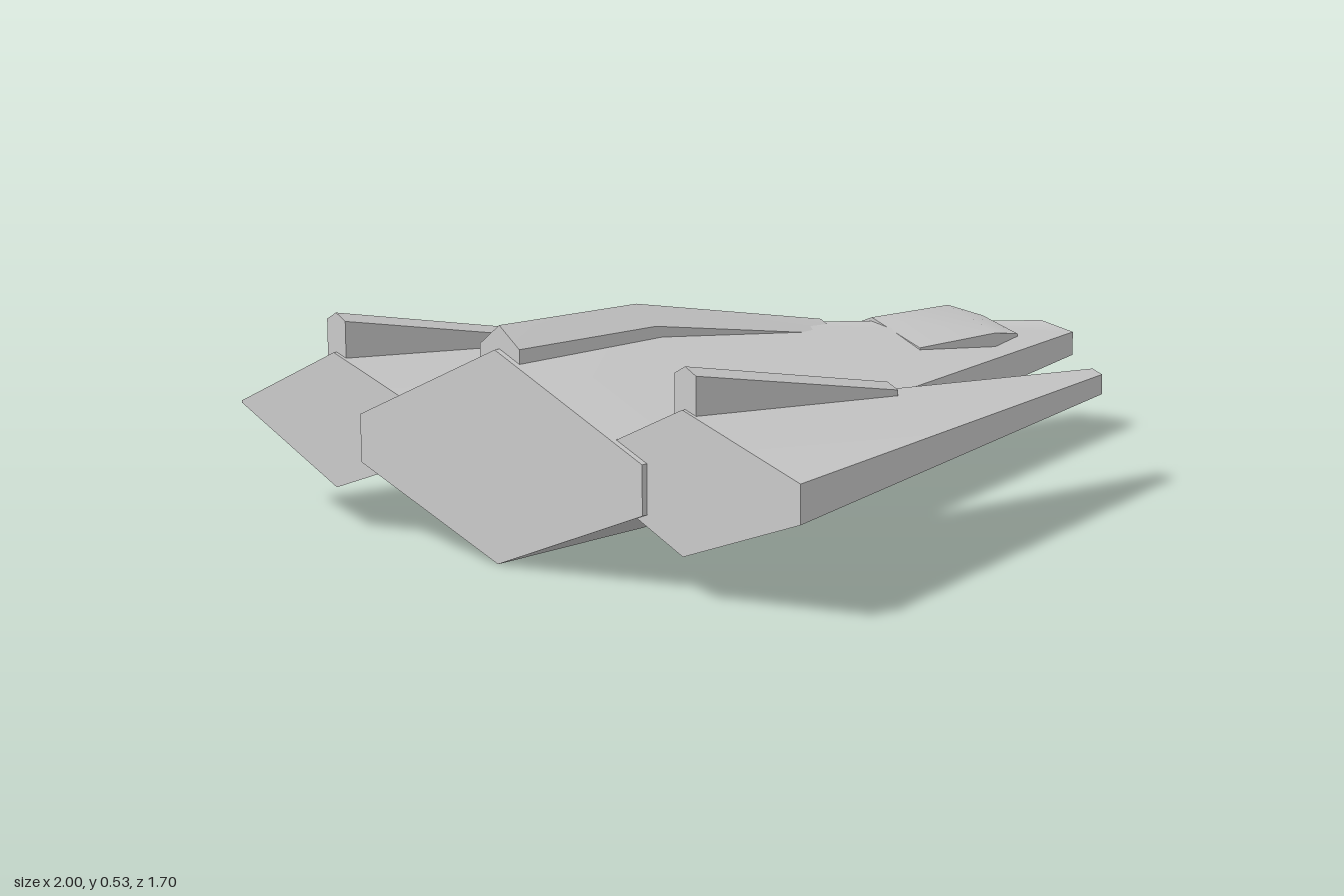
import * as THREE from 'three';
import { toCreasedNormals } from 'three/addons/utils/BufferGeometryUtils.js';

const material = new THREE.MeshStandardMaterial({ color: 0xcccccc });

// Closed solid through cross-sections ordered from tail (-x) to nose (+x).
// Each section is { x, ring }, ring = [z, y] corners: top, +z side, bottom, -z side.
function loft(name, sections, crease = 0.45) {
  const n = sections[0].ring.length;
  const positions = [];
  const index = [];
  for (const { x, ring } of sections) for (const [z, y] of ring) positions.push(x, y, z);
  for (let s = 0; s < sections.length - 1; s++) {
    for (let j = 0; j < n; j++) {
      const a = s * n + j, b = s * n + (j + 1) % n;
      index.push(a, b, b + n, a, b + n, a + n);
    }
  }
  const last = (sections.length - 1) * n;
  for (let j = 1; j < n - 1; j++) {
    index.push(0, j + 1, j);
    index.push(last, last + j, last + j + 1);
  }
  const geometry = new THREE.BufferGeometry();
  geometry.setAttribute('position', new THREE.Float32BufferAttribute(positions, 3));
  geometry.setIndex(index);
  const mesh = new THREE.Mesh(toCreasedNormals(geometry, crease), material);
  mesh.name = name;
  return mesh;
}

// Six-sided section: ridge, side edge from hi to lo, keel
const hex = (x, w, top, hi, lo, bottom) => ({
  x, ring: [[0, top], [w, hi], [w, lo], [0, bottom], [-w, lo], [-w, hi]],
});

// Five-sided section with a pitched roof
const tent = (x, w, peak, shoulder, base) => ({
  x, ring: [[0, peak], [w, shoulder], [w, base], [-w, base], [-w, shoulder]],
});

export function createModel() {
  const model = new THREE.Group();
  model.name = 'spaceship';

  // Main hull
  model.add(loft('hull', [
    hex(-1, 0.43, 0.48, 0.285, 0.175, 0.005),
    hex(-0.53, 0.43, 0.48, 0.285, 0.175, 0.005),
    hex(1, 0.1, 0.29, 0.27, 0.21, 0.19),
  ]));

  // Raised spine along the rear of the hull
  model.add(loft('spine', [
    tent(-0.985, 0.06, 0.532, 0.485, 0.36),
    tent(-0.55, 0.06, 0.525, 0.48, 0.36),
    tent(0.1, 0.06, 0.408, 0.378, 0.33),
  ]));

  // Cockpit canopy
  model.add(loft('canopy', [
    tent(0.295, 0.15, 0.387, 0.328, 0.27),
    tent(0.6, 0.15, 0.38, 0.325, 0.27),
    tent(0.745, 0.11, 0.335, 0.3, 0.26),
  ]));

  // Side pods with fins; both pods have a blunt +z edge and a sharp -z edge
  for (const [side, z] of [['left', -0.53], ['right', 0.53]]) {
    const pod = new THREE.Group();
    pod.name = `${side === 'left' ? 'far' : 'near'}SidePod`;
    pod.position.z = z;
    pod.add(loft('wing', [
      {
        x: -0.985,
        ring: [[0, 0.412], [0.32, 0.3], [0.32, 0.215], [0, 0.1], [-0.32, 0.257], [-0.32, 0.262]],
      },
      hex(0.48, 0.028, 0.296, 0.285, 0.237, 0.226),
    ]));
    pod.add(loft('fin', [
      tent(-0.975, 0.03, 0.502, 0.485, 0.36),
      tent(-0.305, 0.03, 0.375, 0.36, 0.32),
    ]));
    model.add(pod);
  }

  return model;
}
